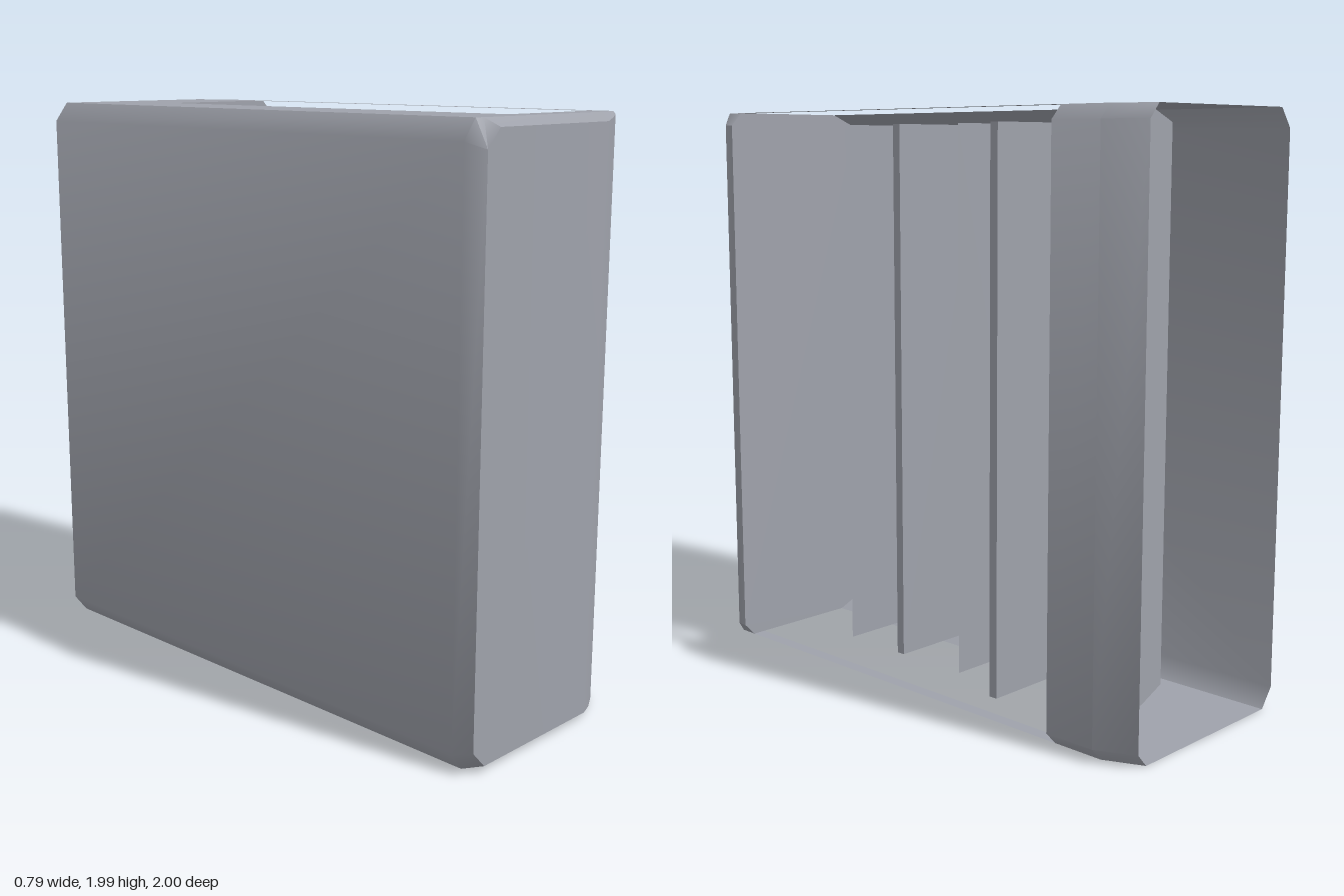
import * as THREE from 'three';
import { toCreasedNormals } from 'three/addons/utils/BufferGeometryUtils.js';

const H = 1.985;
const LIP = 0.045;
const OPEN = { x0: -0.095, x1: 0.305, z0: -0.685, z1: 0.853 };
const BAY_X = -0.2;

// Outline stations: outer x, z, rim x, z, and bevel height
const MAIN = [
  [0.395, 0.853, 0.352, 0.853, 0.045], [0.395, 0.89, 0.352, 0.92, 0.045],
  [0.35, 0.93, 0.345, 0.922, 0.01], [0.28, 0.97, 0.27, 0.93, 0.015],
  [0.21, 1, 0.2, 0.936, 0.025], [-0.32, 1, -0.32, 0.94, 0.025],
  [-0.375, 1, -0.345, 0.93, 0.085], [-0.395, 0.93, -0.345, 0.93, 0.065],
  [-0.395, -1, -0.345, -1, 0.065],
];
const REAR = [
  [0.333, -1, 0.293, -1, 0.045], [0.395, -0.87, 0.352, -0.87, 0.045],
  [0.395, -0.685, 0.352, -0.685, 0.045],
];

const points = (list) => list.map((p) => new THREE.Vector2(...p));

// Open strip of wall with bevelled top and bottom, swept along the stations
function wall(stations, crease) {
  const pos = [], idx = [];
  for (const [x, z, rx, rz, d] of stations) {
    pos.push(rx, 0, rz, x, d, z, x, H - d, z, rx, H, rz);
  }
  for (let i = 0; i < stations.length - 1; i++) {
    for (let j = 0; j < 3; j++) {
      const a = i * 4 + j, b = a + 4;
      idx.push(a, a + 1, b, b, a + 1, b + 1);
    }
  }
  const g = new THREE.BufferGeometry();
  g.setAttribute('position', new THREE.Float32BufferAttribute(pos, 3));
  g.setIndex(idx);
  return toCreasedNormals(g, crease);
}

// Flat end plate with the bay opening cut out, leaving a slim rail on the open side
function plate(up) {
  const k = up ? -1 : 1;
  const { x0, x1, z0, z1 } = OPEN;
  const s = new THREE.Shape(points([...MAIN, ...REAR].map(([, , x, z]) => [x, k * z])));
  s.holes.push(new THREE.Path(points([[x0, k * z0], [x1, k * z0], [x1, k * z1], [x0, k * z1]])));
  return new THREE.ShapeGeometry(s).rotateX(k * Math.PI / 2).translate(0, up ? H : 0, 0);
}

// Inner wall of the bay, sloping out to the opening edge at top and bottom
function bayLining() {
  const rows = [[OPEN.x0, 0], [BAY_X, LIP], [BAY_X, H - LIP], [OPEN.x0, H]];
  const pos = [], idx = [];
  for (const [x, y] of rows) pos.push(x, y, OPEN.z1, x, y, OPEN.z0);
  for (let a = 0; a < 6; a += 2) idx.push(a, a + 1, a + 2, a + 2, a + 1, a + 3);
  const g = new THREE.BufferGeometry();
  g.setAttribute('position', new THREE.Float32BufferAttribute(pos, 3));
  g.setIndex(idx);
  return toCreasedNormals(g, 0.5);
}

export function createModel() {
  const model = new THREE.Group();
  const grey = new THREE.MeshStandardMaterial({ color: 0x9fa2ab, side: THREE.DoubleSide });
  grey.name = 'casing grey';
  const add = (name, geo) => {
    const m = new THREE.Mesh(geo, grey);
    m.name = name;
    model.add(m);
  };

  // Outer shell, open at the back
  add('outerShell', wall(MAIN, 0.75));
  add('rearPost', wall(REAR, 0.85));
  add('topPlate', plate(true));
  add('bottomPlate', plate(false));

  // Bay lining: inner wall and two end panels
  add('bayWall', bayLining());
  const end = new THREE.Shape(points([
    [OPEN.x0, 0], [0.352, 0], [0.395, LIP], [0.395, H - LIP],
    [0.352, H], [OPEN.x0, H], [BAY_X, H - LIP], [BAY_X, LIP],
  ]));
  add('frontBayPanel', new THREE.ShapeGeometry(end).translate(0, 0, OPEN.z1));
  add('rearBayPanel', new THREE.ShapeGeometry(end).translate(0, 0, OPEN.z0));

  // Upright dividers: z, tip x, thickness (0 is sheet-thin)
  const dividers = [[0.45, 0.2, 0], [0.187, 0.2, 0.032], [-0.11, 0.2, 0], [-0.355, 0.288, 0.032]];
  for (const [z, tip, t] of dividers) {
    const w = tip - BAY_X, h = H - 2 * LIP;
    const geo = t ? new THREE.BoxGeometry(w, h, t) : new THREE.PlaneGeometry(w, h);
    add(t ? 'thickDivider' : 'thinDivider', geo.translate(BAY_X + w / 2, H / 2, z));
  }
  return model;
}
